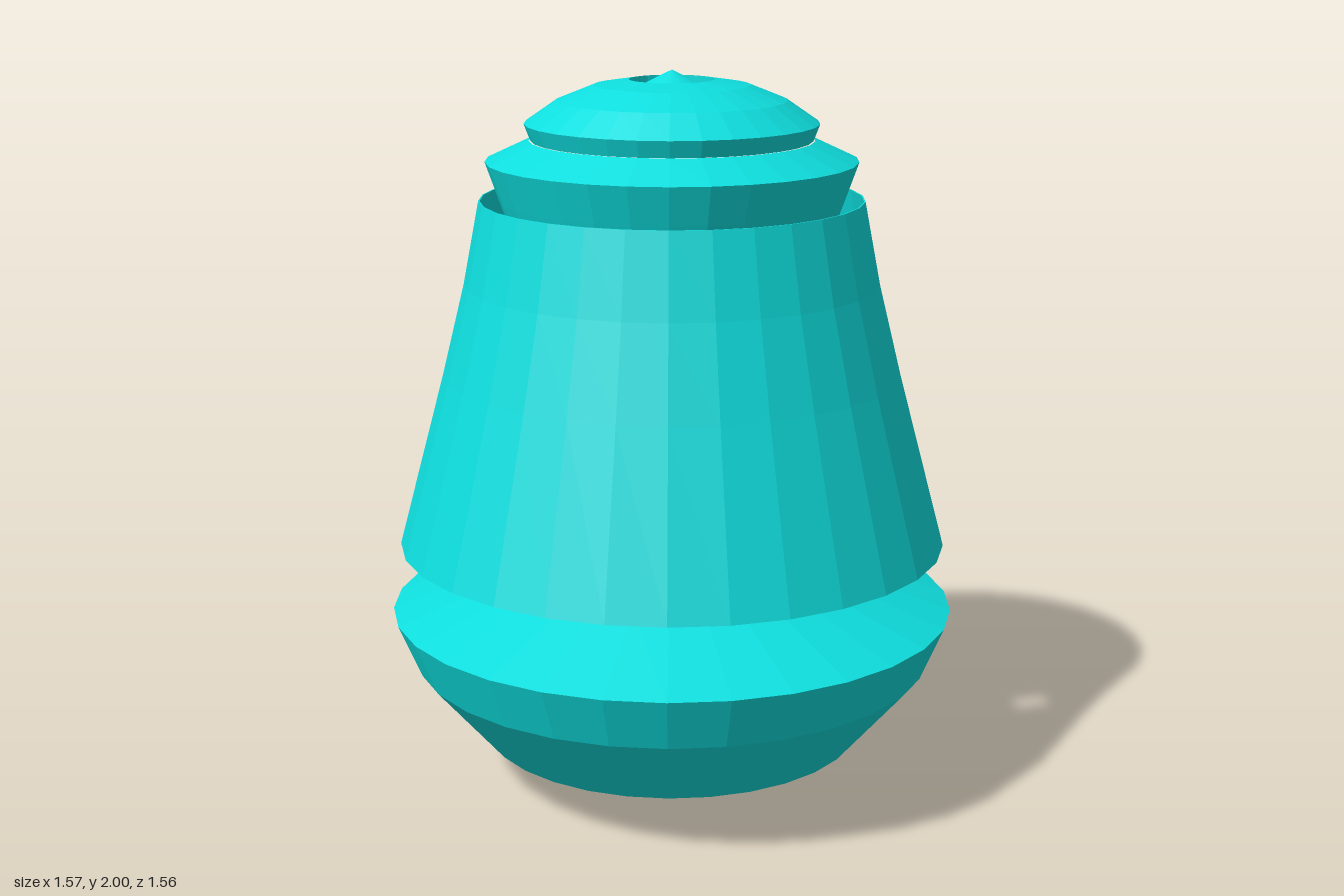
import * as THREE from 'three';

const SIDES = 30;

export function createModel() {
  const group = new THREE.Group();
  const teal = new THREE.MeshStandardMaterial({ color: 0x0fdede });
  teal.name = 'teal';
  const grey = new THREE.MeshStandardMaterial({ color: 0xd0d0d0 });
  grey.name = 'lining grey';

  // Faceted turned part; profile runs upward for outward-facing surfaces
  function turned(name, profile, material) {
    const points = profile.map(([r, y]) => new THREE.Vector2(r, y));
    const geometry = new THREE.LatheGeometry(points, SIDES, Math.PI / 2).toNonIndexed();
    geometry.computeVertexNormals();
    const mesh = new THREE.Mesh(geometry, material);
    mesh.name = name;
    group.add(mesh);
  }

  // Rounded bowl-shaped base with a sloping shoulder
  turned('base', [
    [0, 0.003], [0.29, 0.042], [0.53, 0.138], [0.72, 0.36],
    [0.783, 0.51], [0.45, 0.63], [0, 0.63],
  ], teal);

  // Funnel rising from the base through the shell to the collar
  turned('funnel', [
    [0.12, 0.62], [0.143, 0.7], [0.2, 0.957], [0.275, 1.133],
    [0.466, 1.655], [0.503, 1.76], [0.385, 1.815],
  ], teal);

  // Dome cap with a recessed pointed centre
  turned('dome', [
    [0.38, 1.815], [0.397, 1.86], [0.31, 1.92], [0.21, 1.96],
    [0.115, 1.975], [0.115, 1.943], [0, 2],
  ], teal);

  // Flared outer shell, open at both ends
  const shell = [[0.757, 0.7], [0.628, 1.18], [0.566, 1.43], [0.522, 1.655]];
  turned('shell', shell, teal);

  // Inner faces of the shell: grey lining below, teal lip above
  const inner = shell.map(([r, y]) => [r - 0.004, y]).reverse();
  turned('shellLip', [shell[3], ...inner.slice(0, 2)], teal);
  turned('shellLining', [...inner.slice(1), shell[0]], grey);

  return group;
}
